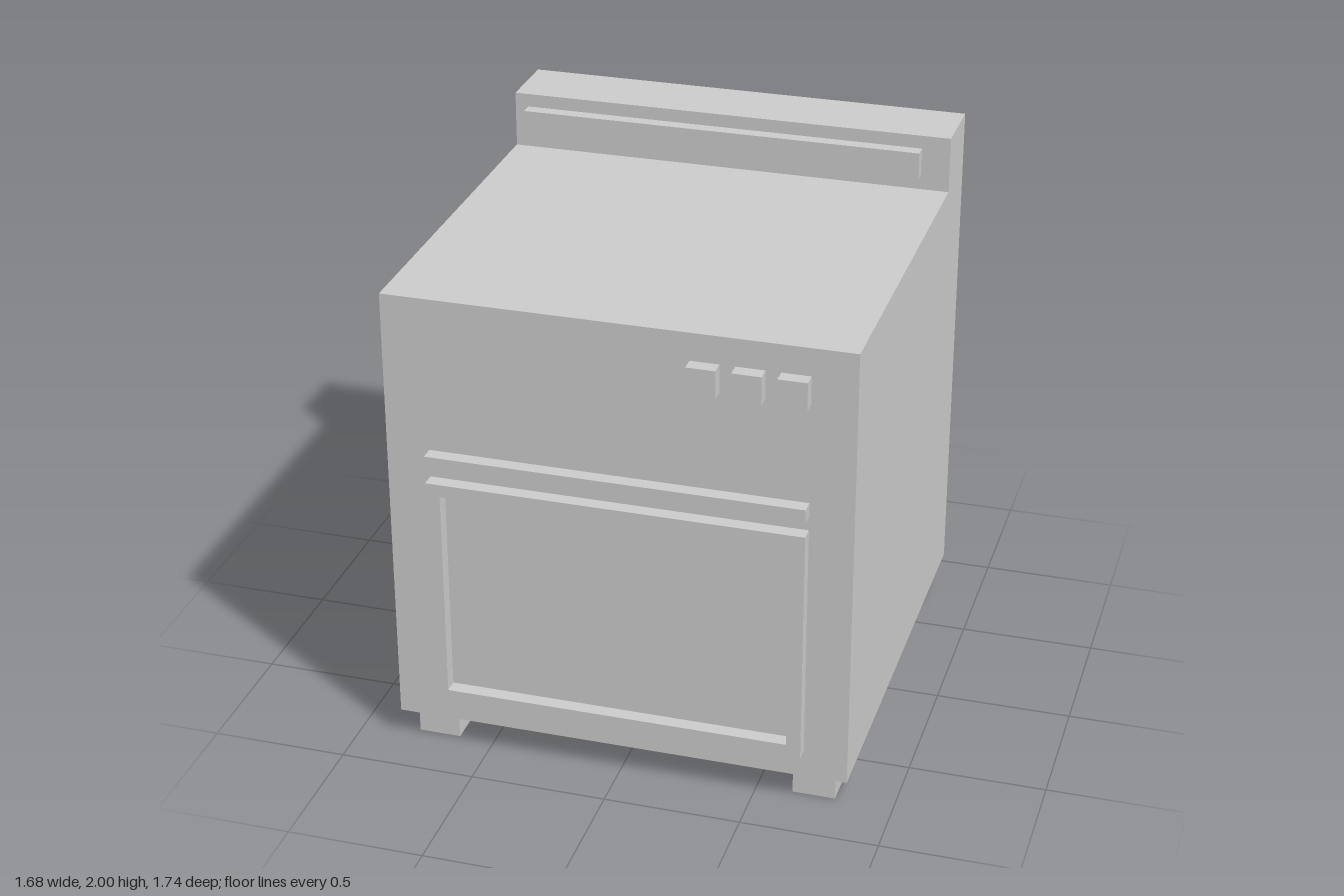
import * as THREE from 'three';

const material = new THREE.MeshStandardMaterial({ color: 0xcccccc, flatShading: true });

export function createModel() {
  const model = new THREE.Group();
  model.name = 'stove';

  const add = (name, geometry) => {
    const mesh = new THREE.Mesh(geometry, material);
    mesh.name = name;
    model.add(mesh);
    return mesh;
  };

  // Box given by its extents on each axis
  const addBox = (name, [x0, x1], [y0, y1], [z0, z1]) =>
    add(name, new THREE.BoxGeometry(x1 - x0, y1 - y0, z1 - z0))
      .position.set((x0 + x1) / 2, (y0 + y1) / 2, (z0 + z1) / 2);

  const front = 0.815, face = 0.868, back = -0.868, splash = -0.605;
  const bottom = 0.11, top = 1.79, halfWidth = 0.84;

  // Body and raised back panel: one side profile (-z, y) extruded across the width
  const profile = new THREE.Shape([
    [-front, bottom], [-back, bottom], [-back, 2], [-splash, 2], [-splash, top], [-front, top],
  ].map(([x, y]) => new THREE.Vector2(x, y)));
  const bodyGeometry = new THREE.ExtrudeGeometry(profile, { depth: halfWidth * 2, bevelEnabled: false });
  bodyGeometry.rotateY(Math.PI / 2).translate(-halfWidth, 0, 0);
  add('body', bodyGeometry);

  // Strip on the back panel
  addBox('backPanelStrip', [-0.79, 0.735], [1.845, 1.95], [splash, -0.555]);

  // Oven door frame around the recessed window
  const rectangle = (Type, x, y0, y1) => new Type([
    new THREE.Vector2(-x, y0), new THREE.Vector2(x, y0),
    new THREE.Vector2(x, y1), new THREE.Vector2(-x, y1),
  ]);
  const frame = rectangle(THREE.Shape, 0.682, 0.215, 1.107);
  frame.holes.push(rectangle(THREE.Path, 0.63, 0.265, 1.06));
  add('ovenDoorFrame', new THREE.ExtrudeGeometry(frame, { depth: face - front, bevelEnabled: false }))
    .position.z = front;

  // Handle bar above the door
  addBox('ovenHandle', [-0.682, 0.682], [1.16, 1.212], [front, face]);

  // Control knobs
  for (const x of [0.313, 0.471, 0.628]) {
    addBox('knob', [x - 0.052, x + 0.052], [1.582, 1.687], [front, face]);
  }

  // Feet
  for (const x of [-0.71, 0.71]) {
    for (const z of [-0.735, 0.687]) {
      addBox('foot', [x - 0.078, x + 0.078], [0, bottom], [z - 0.078, z + 0.078]);
    }
  }

  return model;
}
